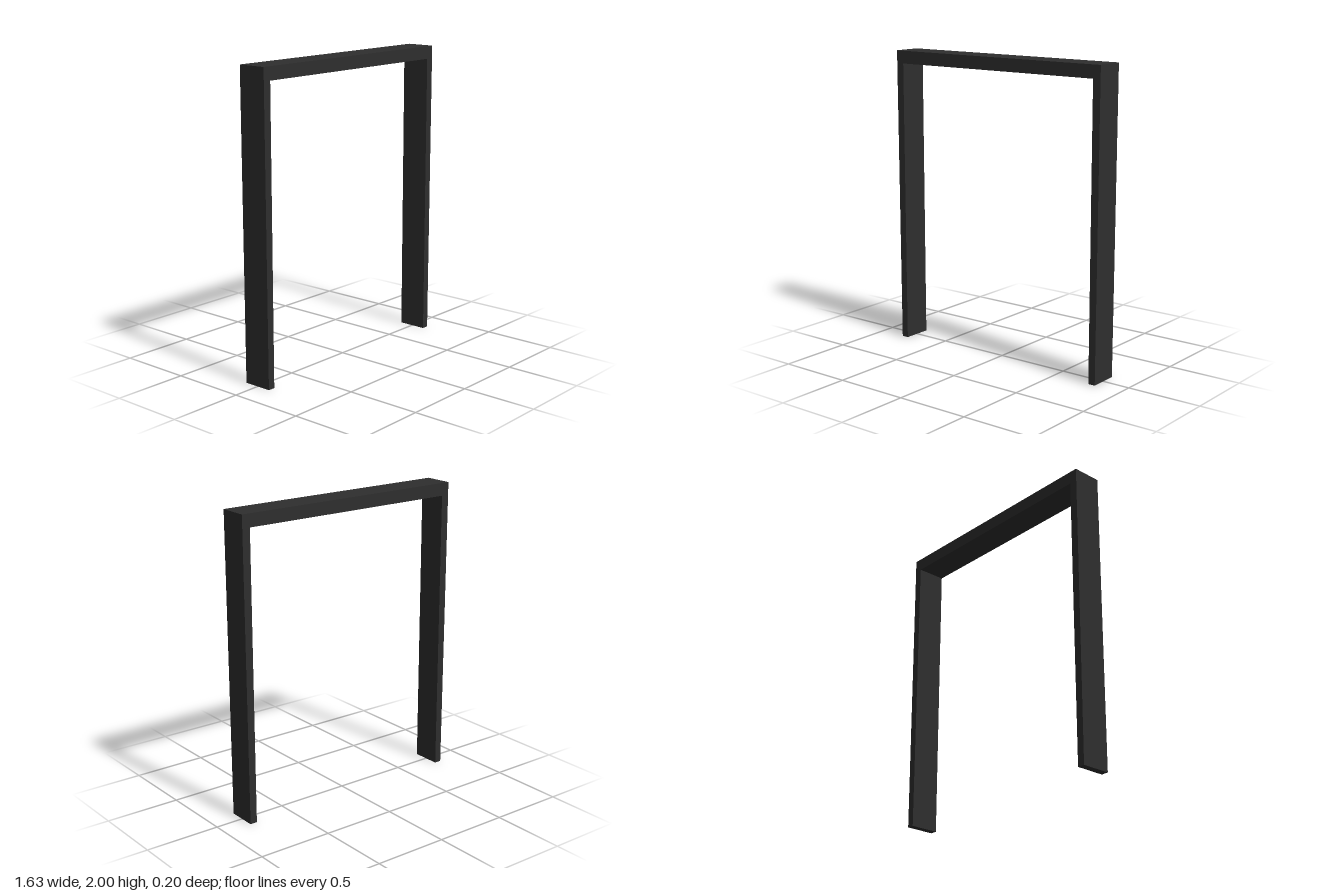
import * as THREE from 'three';

export function createModel() {
  const group = new THREE.Group();
  group.name = 'doorFrame';
  const darkGrey = new THREE.MeshStandardMaterial({ color: 0x2e2e2e });
  darkGrey.name = 'darkGrey';

  const depth = 0.196, inner = 0.763, head = 1.915;
  const topHalf = 0.817, footHalf = 0.811;

  // Extrudes an outline in the xy plane, centred on z = 0
  function addPart(name, points) {
    const shape = new THREE.Shape(points.map(([x, y]) => new THREE.Vector2(x, y)));
    const geometry = new THREE.ExtrudeGeometry(shape, { depth, bevelEnabled: false });
    geometry.translate(0, 0, -depth / 2);
    const mesh = new THREE.Mesh(geometry, darkGrey);
    mesh.name = name;
    group.add(mesh);
  }

  // Posts and lintel in one continuous outline, the posts narrowing very slightly to the foot
  addPart('frame', [
    [-footHalf, 0], [-inner, 0], [-inner, head], [inner, head], [inner, 0],
    [footHalf, 0], [topHalf, 2], [-topHalf, 2],
  ]);

  return group;
}
